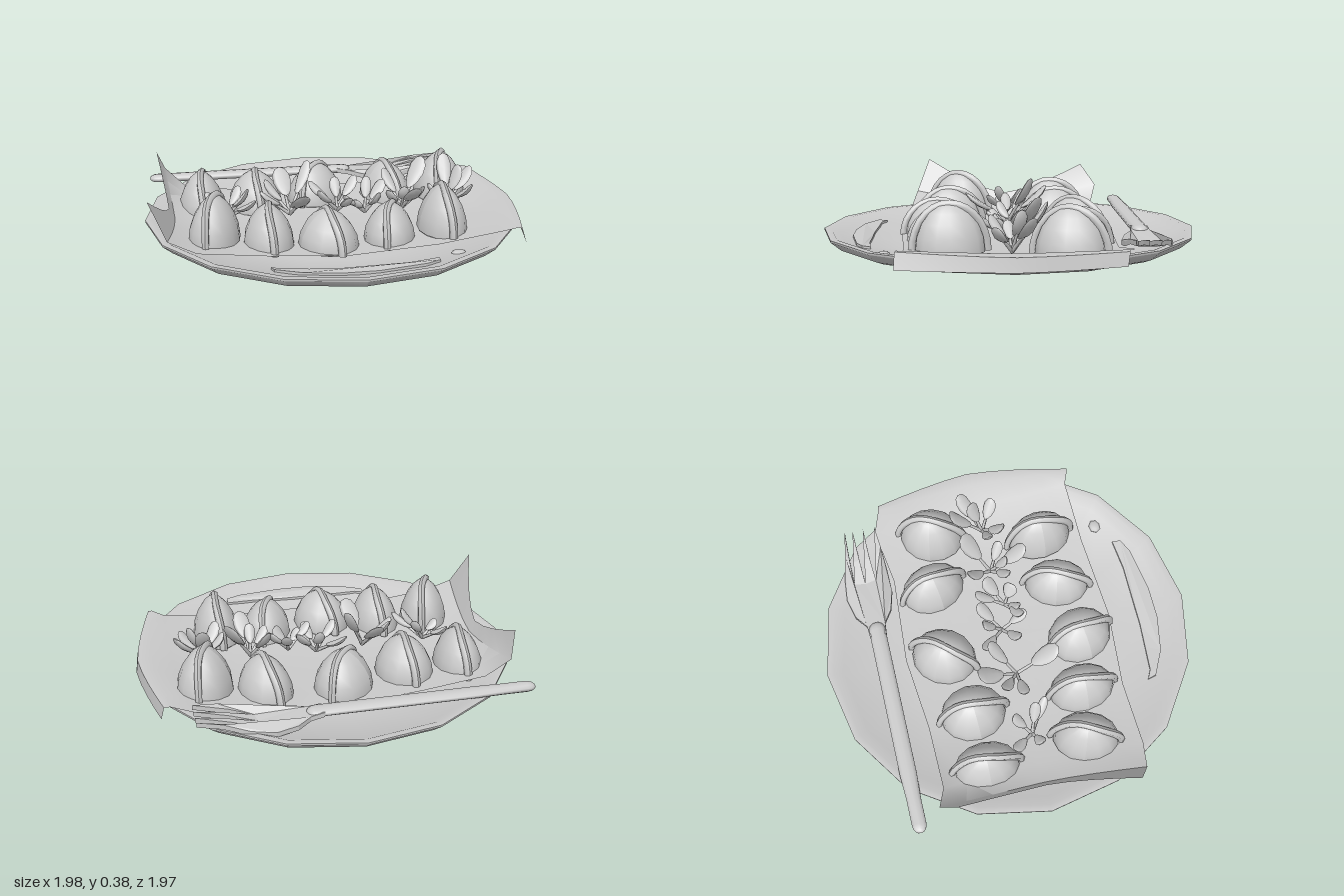
import * as THREE from 'three';
import { toCreasedNormals } from 'three/addons/utils/BufferGeometryUtils.js';

const mat = new THREE.MeshStandardMaterial({ color: 0xcccccc });
const thin = new THREE.MeshStandardMaterial({ color: 0xcccccc, side: THREE.DoubleSide });

function mesh(name, geo, material = mat) {
  const m = new THREE.Mesh(geo, material);
  m.name = name;
  return m;
}

// Moves every vertex by a rule and refreshes the normals
function warp(geo, rule) {
  const p = geo.attributes.position, v = new THREE.Vector3();
  for (let i = 0; i < p.count; i++) {
    rule(v.fromBufferAttribute(p, i));
    p.setXYZ(i, v.x, v.y, v.z);
  }
  geo.computeVertexNormals();
  return geo;
}

// Height of the plate's upper surface at radius r
function plateY(r) {
  if (r < 0.6) return 0.055;
  return r < 0.9 ? 0.055 + (r - 0.6) * 0.16 : 0.103 + (r - 0.9) * 0.5;
}

// Shallow sixteen-sided plate
function plate() {
  const pts = [[0, 0], [0.54, 0], [0.6, 0.005], [0.89, 0.06], [0.93, 0.075], [0.985, 0.12], [0.985, 0.13],
    [0.95, 0.13], [0.9, 0.103], [0.62, 0.058], [0.56, 0.055], [0, 0.055]];
  const geo = new THREE.LatheGeometry(pts.map(([x, y]) => new THREE.Vector2(x, y)), 16);
  return mesh('plate', toCreasedNormals(geo, 0.9));
}

// Napkin: each row is back, middle and front point across the plate
function napkin() {
  const rows = [
    [[-0.9, 0.36, -0.47], [-0.86, 0.19, 0], [-0.975, 0.385, 0.455]],
    [[-0.855, 0.24, -0.555], [-0.83, 0.13, 0], [-0.89, 0.2, 0.525]],
    [[-0.74, 0.135, -0.515], [-0.72, 0.09, 0], [-0.75, 0.14, 0.55]],
    [[-0.4, 0.095, -0.52], [-0.4, 0.075, 0], [-0.4, 0.1, 0.54]],
    [[0, 0.085, -0.56], [0, 0.072, 0], [0, 0.09, 0.575]],
    [[0.46, 0.105, -0.53], [0.46, 0.08, 0], [0.46, 0.105, 0.54]],
    [[0.75, 0.15, -0.575], [0.8, 0.115, 0], [0.8, 0.15, 0.53]],
    [[0.87, 0.172, -0.53], [0.91, 0.165, 0], [0.86, 0.172, 0.555]],
    [[0.9, 0.168, -0.525], [0.985, 0.16, 0], [0.88, 0.17, 0.56]],
    [[0.915, 0.1, -0.515], [0.995, 0.09, 0], [0.905, 0.088, 0.565]],
  ];
  const N = 8, pos = [], idx = [];
  rows.forEach(([b, m, f], i) => {
    for (let j = 0; j <= N; j++) {
      const v = (j / N) * 2 - 1, a = Math.abs(v), e = v < 0 ? b : f, k = Math.pow(a, 1.4);
      pos.push(m[0] + (e[0] - m[0]) * k, m[1] + (e[1] - m[1]) * k, e[2] * a);
      if (i && j) {
        const d = i * (N + 1) + j, c = d - 1, q = d - N - 1, p = q - 1;
        idx.push(p, q, c, q, d, c);
      }
    }
  });
  const geo = new THREE.BufferGeometry();
  geo.setAttribute('position', new THREE.Float32BufferAttribute(pos, 3));
  geo.setIndex(idx);
  return mesh('napkin', toCreasedNormals(geo, 0.6), thin);
}

// Dumpling: onion-shaped dome with a pinched seam arching over it
function dumpling(x, z, yaw, halfWidth, top) {
  const g = new THREE.Group(), base = Math.max(0.085, top - 0.25), h = top - base;
  g.name = 'dumpling';
  const body = warp(new THREE.SphereGeometry(1, 14, 10), v => {
    const t = Math.max(v.y, 0);
    v.x *= halfWidth * (1 - 0.22 * t * t);
    v.z *= 0.175;
    v.y = v.y > 0 ? v.y * (h - 0.015) : v.y * 0.025;
  });
  const seam = warp(new THREE.TorusGeometry(1, 0.1, 6, 14, Math.PI), v => {
    const s = v.x, y = v.y;
    v.x = v.z * 0.2 + 0.012 * Math.sin(s * 3);
    v.z = -s * 0.187;
    v.y = y * (h - 0.02);
  });
  g.add(mesh('dumplingBody', body), mesh('dumplingSeam', seam, thin));
  g.position.set(x, base, z);
  g.rotation.y = yaw;
  return g;
}

// Leaf on a stem running from base to tip
function leaf(base, tip, width) {
  const g = new THREE.Group(), len = base.distanceTo(tip);
  g.name = 'leaf';
  const blade = warp(new THREE.SphereGeometry(1, 8, 6).rotateX(Math.PI / 2), v => {
    v.x *= width * (1 + 0.2 * v.z);
    v.y = v.y * 0.016 + 0.012 * v.z * v.z;
    v.z = len * (0.68 + 0.32 * v.z);
  });
  const stem = new THREE.CylinderGeometry(0.007, 0.011, len * 0.5, 5).rotateX(Math.PI / 2).translate(0, 0, len * 0.25);
  g.add(mesh('leafBlade', blade), mesh('leafStem', stem));
  g.position.copy(base);
  g.lookAt(tip);
  return g;
}

// Fork: rounded handle and a bent flat head with four tines
function fork() {
  const g = new THREE.Group();
  g.name = 'fork';
  const handle = warp(new THREE.CapsuleGeometry(0.046, 1.08, 4, 10, 8).rotateZ(Math.PI / 2), v => {
    if (v.x < -0.4) v.z *= 0.85;
    v.y *= 0.5;
  });
  const hm = mesh('forkHandle', handle);
  hm.position.set(-0.355, 0.145, -0.675);
  const outline = [[0.15, -0.045], [0.22, -0.05], [0.29, -0.1], [0.4, -0.127], [0.52, -0.115], [0.65, -0.085], [0.77, -0.062],
    [0.6, -0.068], [0.48, -0.07], [0.6, -0.048], [0.77, -0.018], [0.6, -0.015], [0.47, -0.01], [0.6, 0.012], [0.77, 0.04],
    [0.6, 0.042], [0.48, 0.05], [0.6, 0.075], [0.77, 0.103], [0.65, 0.115], [0.52, 0.122], [0.4, 0.123], [0.29, 0.095],
    [0.22, 0.05], [0.15, 0.045]];
  const shape = new THREE.Shape(outline.map(([x, s]) => new THREE.Vector2(x, s)));
  const head = new THREE.ExtrudeGeometry(shape, { depth: 0.025, bevelEnabled: false }).rotateX(Math.PI / 2);
  warp(head, v => {
    const dip = -0.03 * Math.sin(Math.PI * THREE.MathUtils.clamp((v.x - 0.15) / 0.5, 0, 1));
    v.y += 0.158 + dip + 0.035 * Math.max(0, (v.x - 0.45) / 0.32);
    v.z -= 0.675;
  });
  g.add(hm, mesh('forkHead', head));
  return g;
}

// Smear of sauce lying on the plate, with a stray drop
function sauce() {
  const g = new THREE.Group();
  g.name = 'sauce';
  const pts = [[-0.41, 0.68], [-0.36, 0.705], [-0.23, 0.715], [-0.09, 0.725], [0.08, 0.725], [0.25, 0.725], [0.41, 0.705],
    [0.405, 0.75], [0.33, 0.785], [0.09, 0.825], [-0.08, 0.825], [-0.27, 0.79], [-0.4, 0.725]];
  const shape = new THREE.Shape(pts.map(([x, z]) => new THREE.Vector2(x, z)));
  const geo = new THREE.ExtrudeGeometry(shape, { depth: 0.02, bevelEnabled: false }).rotateX(Math.PI / 2);
  warp(geo, v => { v.y += plateY(Math.hypot(v.x, v.z)) + 0.014; });
  const drop = mesh('sauceDrop', new THREE.SphereGeometry(0.04, 7, 5));
  drop.scale.set(1, 0.4, 0.85);
  drop.position.set(0.53, plateY(0.82), 0.635);
  g.add(mesh('sauceSmear', geo), drop);
  return g;
}

export function createModel() {
  const model = new THREE.Group();
  model.name = 'dumplingPlate';
  model.add(plate(), napkin(), fork(), sauce());

  // Two rows of dumplings: x, z, yaw, half width, top
  const dumplings = [
    [-0.67, -0.27, 0, 0.125, 0.31], [-0.375, -0.275, 0.08, 0.15, 0.3], [-0.03, -0.355, -0.54, 0.15, 0.3],
    [0.37, -0.33, 0.26, 0.135, 0.3], [0.67, -0.27, -0.28, 0.145, 0.355],
    [-0.645, 0.27, -0.31, 0.13, 0.355], [-0.375, 0.32, 0.04, 0.128, 0.305], [-0.08, 0.385, 0.22, 0.15, 0.285],
    [0.245, 0.34, -0.27, 0.132, 0.285], [0.53, 0.31, 0.08, 0.125, 0.355],
  ];
  for (const d of dumplings) model.add(dumpling(...d));

  // Sprigs: root x, z, then leaf tips as x, y, z, half width
  const sprigs = [
    [-0.56, 0.0, [[-0.66, 0.22, -0.12, 0.03], [-0.48, 0.26, -0.09, 0.03], [-0.65, 0.2, 0.04, 0.03], [-0.44, 0.28, 0.05, 0.03], [-0.41, 0.23, 0.11, 0.025]]],
    [-0.22, 0.0, [[-0.25, 0.31, -0.22, 0.05], [-0.1, 0.37, -0.13, 0.035], [-0.18, 0.28, 0.24, 0.05], [-0.39, 0.25, 0.01, 0.03], [-0.35, 0.28, -0.1, 0.03]]],
    [0.04, -0.02, [[-0.1, 0.24, -0.15, 0.03], [0.04, 0.27, -0.13, 0.03], [0.16, 0.27, -0.13, 0.035], [-0.08, 0.25, 0.06, 0.03], [0.08, 0.22, 0.13, 0.03]]],
    [0.18, 0.03, [[0.3, 0.26, -0.06, 0.04], [0.22, 0.26, -0.13, 0.03], [0.25, 0.23, 0.09, 0.04], [0.05, 0.23, 0.1, 0.03], [0.11, 0.2, 0.1, 0.03]]],
    [0.39, 0.0, [[0.31, 0.3, -0.14, 0.035], [0.53, 0.36, -0.13, 0.05], [0.42, 0.28, 0.21, 0.045], [0.29, 0.24, 0.09, 0.03], [0.38, 0.26, 0.1, 0.03], [0.5, 0.25, 0.08, 0.03]]],
    [0.64, 0.01, [[0.66, 0.36, -0.17, 0.04], [0.8, 0.3, -0.09, 0.04], [0.76, 0.25, 0.1, 0.035], [0.55, 0.28, 0.12, 0.035], [0.52, 0.25, 0.03, 0.03], [0.72, 0.33, -0.04, 0.04]]],
  ];
  for (const [x, z, tips] of sprigs) {
    const sprig = new THREE.Group();
    sprig.name = 'sprig';
    for (const [tx, ty, tz, w] of tips) sprig.add(leaf(new THREE.Vector3(x, 0.12, z), new THREE.Vector3(tx, ty, tz), w));
    model.add(sprig);
  }
  return model;
}
